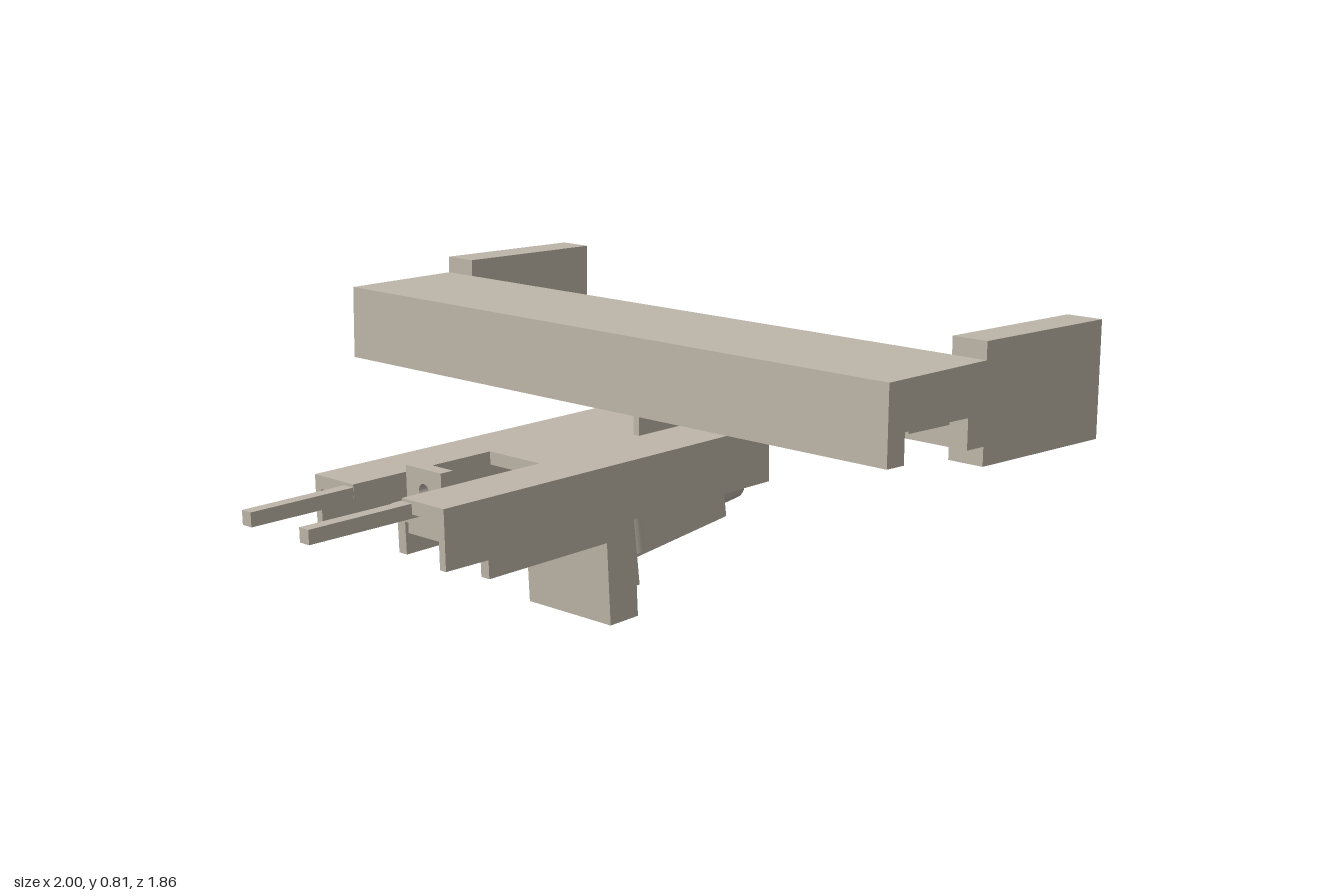
import * as THREE from 'three';

const grey = new THREE.MeshStandardMaterial({ color: 0xbdb5a8, flatShading: true });
const smooth = new THREE.MeshStandardMaterial({ color: 0xbdb5a8 });
const copper = new THREE.MeshStandardMaterial({ color: 0x9a7f68 });

function add(parent, name, geometry, material = grey) {
  const mesh = new THREE.Mesh(geometry, material);
  mesh.name = name;
  parent.add(mesh);
  return mesh;
}

// Box given by its limits on each axis
function box(parent, name, x0, x1, y0, y1, z0, z1) {
  const g = new THREE.BoxGeometry(x1 - x0, y1 - y0, z1 - z0);
  g.translate((x0 + x1) / 2, (y0 + y1) / 2, (z0 + z1) / 2);
  return add(parent, name, g);
}

function polygon(points) {
  return new THREE.Shape(points.map(([x, y]) => new THREE.Vector2(x, y)));
}

function extrude(shape, depth) {
  return new THREE.ExtrudeGeometry(shape, { depth, bevelEnabled: false, curveSegments: 16 });
}

// Rectangular lug with a round hole, standing in the xy plane
function lug(width, y0, y1, holeY, radius, depth) {
  const w = width / 2;
  const shape = polygon([[-w, y0], [w, y0], [w, y1], [-w, y1]]);
  shape.holes.push(new THREE.Path().absarc(0, holeY, radius, 0, Math.PI * 2, true));
  return extrude(shape, depth);
}

// Group tilted about x, so its rear is raised
function tilted(parent, name, y, z, angle) {
  const group = new THREE.Group();
  group.name = name;
  group.position.set(0, y, z);
  group.rotation.x = angle;
  parent.add(group);
  return group;
}

export function createModel() {
  const model = new THREE.Group();

  // Wide inverted channel across the top; profile is (-z, y)
  const beam = extrude(polygon([
    [0.095, 0.55], [0.157, 0.55], [0.157, 0.63], [0.395, 0.63],
    [0.395, 0.55], [0.46, 0.55], [0.46, 0.763], [0.095, 0.756],
  ]), 2);
  beam.rotateY(Math.PI / 2).translate(-1, 0, 0);
  add(model, 'crossBeam', beam);
  box(model, 'beamRail', -0.98, 0.98, 0.617, 0.632, -0.35, -0.195);

  // Rear arms at both ends of the beam
  for (const s of [-1, 1]) {
    const arm = box(model, 'sideArm', -0.0525, 0.0525, 0.5, 0.81, -0.93, -0.459);
    arm.position.x = s * 0.9475;
  }

  // Thin pivot lug between beam and frame
  const pivot = lug(0.15, 0.465, 0.6, 0.55, 0.025, 0.02);
  pivot.rotateY(Math.PI / 2).translate(0.055, 0, -0.275);
  add(model, 'pivotLug', pivot);

  // Main frame: slotted deck with side walls, prongs and a slot bracket
  const frame = tilted(model, 'mainFrame', 0.46, 0.053, 0.035);
  const deck = extrude(polygon([
    [-0.25, -0.568], [-0.095, -0.568], [-0.095, -0.12], [0.095, -0.12],
    [0.095, -0.568], [0.25, -0.568], [0.25, 0.568], [-0.25, 0.568],
  ]), 0.035);
  deck.rotateX(-Math.PI / 2).translate(0, -0.035, 0);
  add(frame, 'deck', deck);
  for (const s of [-1, 1]) {
    const wall = box(frame, 'sideWall', -0.011, 0.011, -0.155, 0, -0.568, 0.568);
    wall.position.x = s * 0.239;
    const prong = box(frame, 'prong', -0.0175, 0.0175, -0.045, -0.008, 0.12, 0.877);
    prong.position.x = s * 0.1135;
  }
  const bracket = lug(0.135, -0.15, 0.027, -0.03, 0.019, 0.04);
  bracket.translate(0, 0, 0.382);
  add(frame, 'slotBracket', bracket);

  // Narrower stepped channel under the frame
  const lower = tilted(model, 'lowerChannel', 0.352, 0.195, 0.05);
  const channel = extrude(polygon([
    [-0.175, -0.127], [-0.145, -0.127], [-0.145, -0.04], [0.145, -0.04],
    [0.145, -0.127], [0.175, -0.127], [0.175, -0.02], [0.197, -0.02],
    [0.197, 0], [-0.197, 0], [-0.197, -0.02], [-0.175, -0.02],
  ]), 0.455);
  channel.translate(0, 0, -0.23);
  add(lower, 'channel', channel);

  // Foot block and the mounting plate behind it
  const foot = tilted(model, 'foot', 0.006, -0.07, 0.065);
  box(foot, 'footBlock', -0.157, 0.157, 0, 0.31, -0.05, 0.05);
  const mount = tilted(model, 'mount', 0.077, -0.144, 0.125);
  box(mount, 'mountPlate', -0.12, 0.12, 0, 0.25, -0.018, 0.018);

  // Rear drive: square body, side bosses, round end and rod
  const drive = tilted(model, 'drive', 0.2, -0.15, 0.155);
  box(drive, 'driveBody', -0.07, 0.07, -0.07, 0.07, -0.39, 0.01);
  for (const s of [-1, 1]) {
    const boss = new THREE.CylinderGeometry(0.035, 0.035, 0.1, 24);
    boss.translate(s * 0.07, 0.005, -0.03);
    add(drive, 'sideBoss', boss, smooth);
  }
  const end = new THREE.CylinderGeometry(0.06, 0.06, 0.1, 32);
  end.rotateX(Math.PI / 2).translate(0, 0, -0.435);
  add(drive, 'driveEnd', end, smooth);
  const rod = new THREE.CylinderGeometry(0.02, 0.02, 0.07, 20);
  rod.rotateX(Math.PI / 2).translate(0, 0, -0.516);
  add(drive, 'driveRod', rod, copper);

  return model;
}
